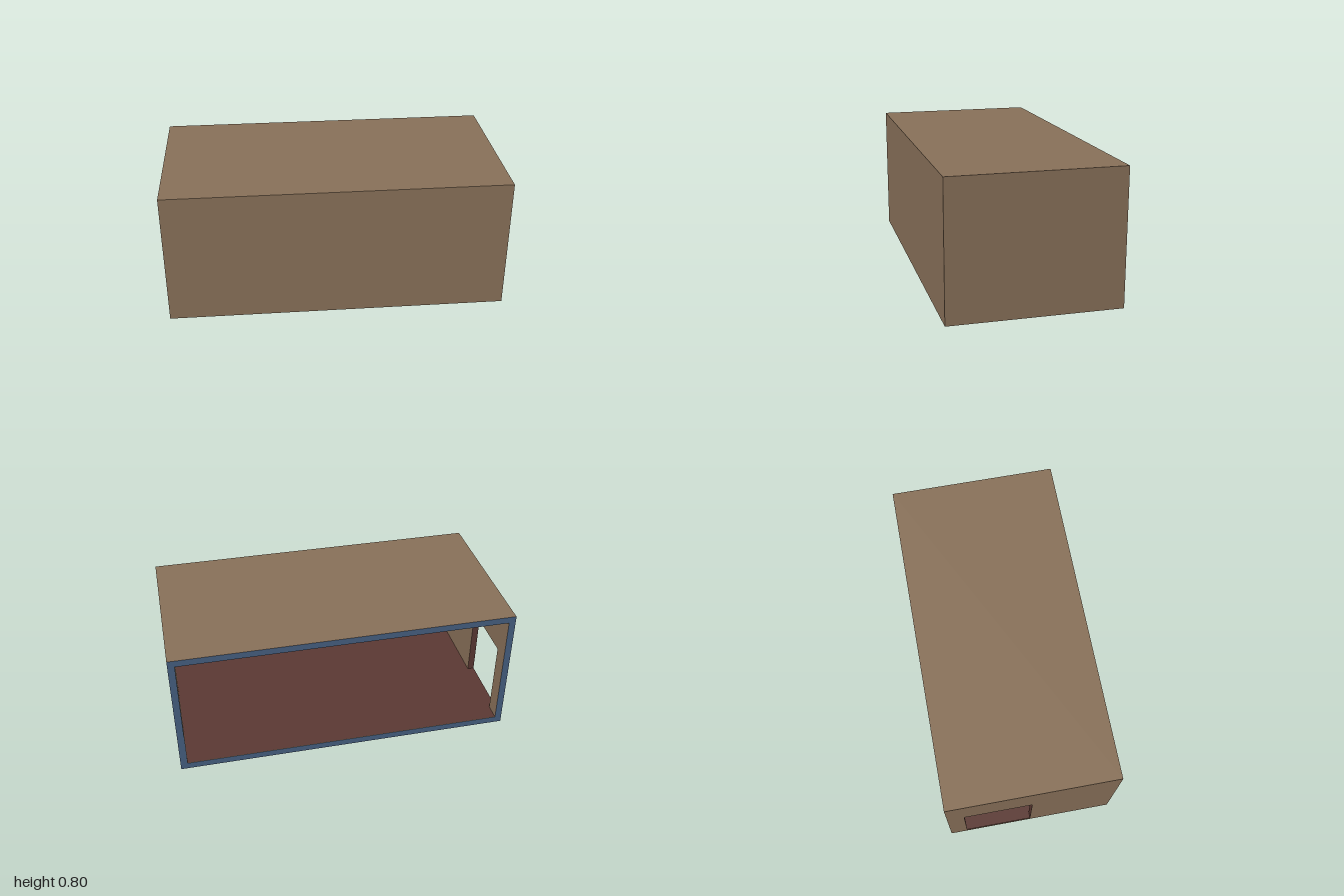
import * as THREE from 'three';

const W = 2, H = 0.8, D = 1, T = 0.04, RIM = 0.004;

function material(name, color) {
  const m = new THREE.MeshStandardMaterial({ color });
  m.name = name;
  return m;
}

export function createModel() {
  const group = new THREE.Group();
  group.name = 'openRoom';

  const brown = material('wall brown', 0x8a725a);
  const midBrown = material('mid brown', 0x9c8268);
  const lightBrown = material('light brown', 0xb4977a);
  const tan = material('inner wall tan', 0xcaab8a);
  const red = material('floor red brown', 0x5c3a34);
  const blue = material('rim blue', 0x486284);

  const add = (name, geometry, mat, x = 0, y = 0, z = 0) => {
    const mesh = new THREE.Mesh(geometry, mat);
    mesh.name = name;
    mesh.position.set(x, y, z);
    group.add(mesh);
    return mesh;
  };
  // Box with one face in another colour (faces: +x -x +y -y +z -z)
  const faced = (face, mat) => Array.from({ length: 6 }, (_, i) => (i === face ? mat : brown));

  // Floor and roof slabs reach from the front to the rim
  const slabDepth = D - RIM;
  add('floor', new THREE.BoxGeometry(W, T, slabDepth), faced(2, red), 0, T / 2, RIM / 2);
  add('roof', new THREE.BoxGeometry(W, T, slabDepth), brown, 0, H - T / 2, RIM / 2);

  // Front wall, tan on the inside
  const wallH = H - 2 * T;
  add('frontWall', new THREE.BoxGeometry(W, wallH, T), faced(5, tan), 0, H / 2, D / 2 - T / 2);

  // Solid left wall, lighter towards the floor on the inside
  const z0 = -D / 2 + RIM, z1 = D / 2 - T;
  const sideDepth = z1 - z0, sideZ = (z0 + z1) / 2;
  add('leftWall', new THREE.BoxGeometry(T, wallH, sideDepth), brown, W / 2 - T / 2, H / 2, sideZ);
  [[T, 0.12, lightBrown], [0.12, 0.24, midBrown]].forEach(([low, high, mat], i) => {
    add('leftWallBand' + (i + 1), new THREE.BoxGeometry(0.002, high - low, sideDepth), mat,
      W / 2 - T - 0.001, (low + high) / 2, sideZ);
  });

  // Right wall with a doorway; its reveals match the floor
  const wall = new THREE.Shape([
    [z0, T], [-0.4, T], [-0.4, 0.5], [0, 0.5], [0, T], [z1, T], [z1, H - T], [z0, H - T],
  ].map(([z, y]) => new THREE.Vector2(z, y)));
  const wallGeometry = new THREE.ExtrudeGeometry(wall, { depth: T, bevelEnabled: false });
  wallGeometry.rotateY(-Math.PI / 2);
  add('rightWallWithDoorway', wallGeometry, [brown, red], -W / 2 + T);

  // Blue rim around the open back
  const rect = (Type, inset) => new Type([
    [-W / 2 + inset, inset], [W / 2 - inset, inset], [W / 2 - inset, H - inset], [-W / 2 + inset, H - inset],
  ].map(([x, y]) => new THREE.Vector2(x, y)));
  const rim = rect(THREE.Shape, 0);
  rim.holes.push(rect(THREE.Path, T));
  add('backRim', new THREE.ExtrudeGeometry(rim, { depth: RIM, bevelEnabled: false }), [blue, brown], 0, 0, -D / 2);

  return group;
}
